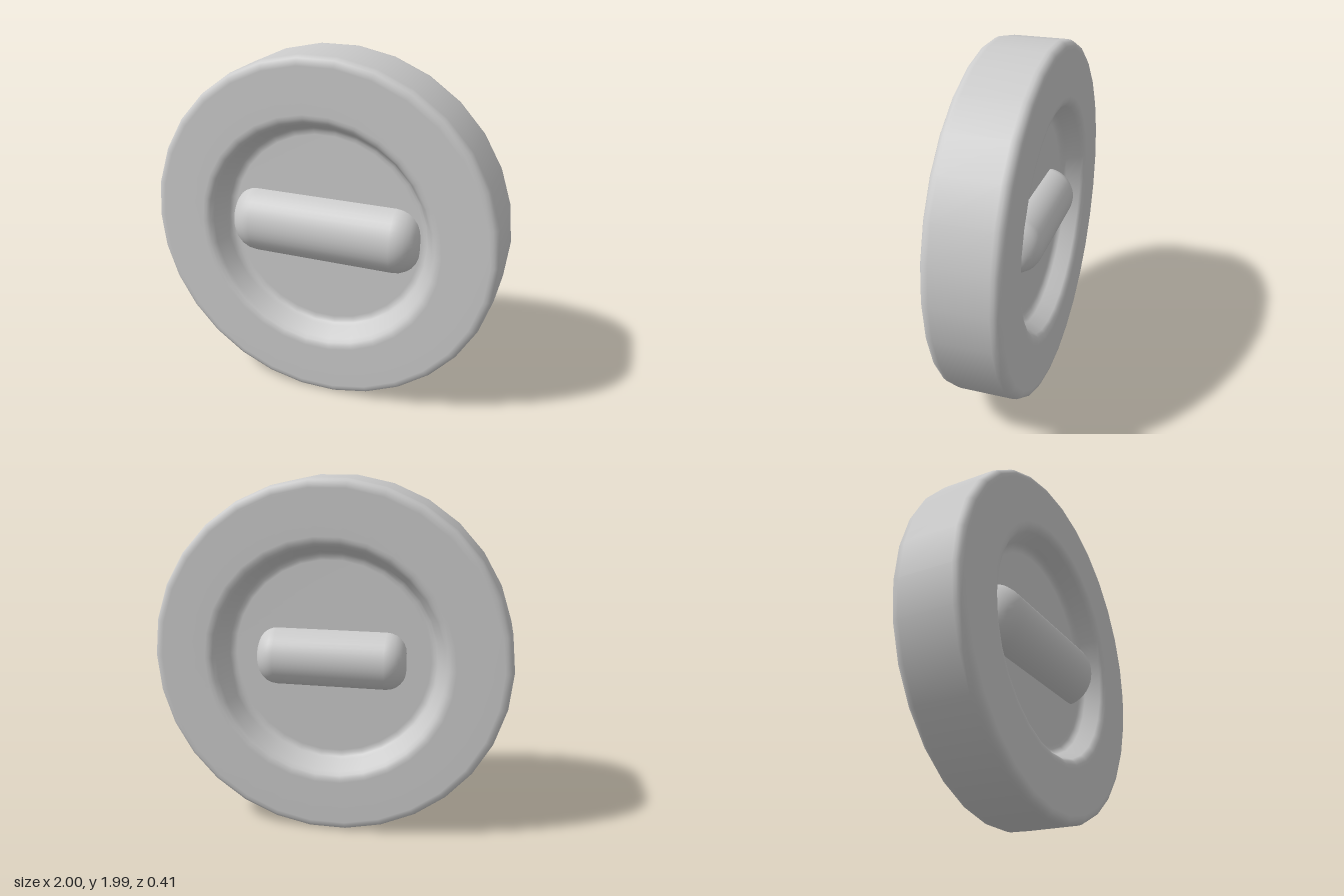
import * as THREE from 'three';

const material = new THREE.MeshStandardMaterial({ color: 0xcccccc });
const CENTRE_Y = 0.995;

// Front half of the disc profile as [radius, z], from the rim to the recess centre
const FRONT_PROFILE = [
  [1, 0.15], [0.997, 0.17], [0.988, 0.188], [0.97, 0.198], [0.95, 0.2],
  [0.7, 0.2], [0.68, 0.198], [0.66, 0.19], [0.643, 0.172],
  [0.605, 0.09], [0.593, 0.072], [0.575, 0.062], [0.555, 0.06], [0, 0.06],
];

// Wheel-like disc with the same dished recess on both faces
function makeDisc() {
  const back = FRONT_PROFILE.map(([r, z]) => [r, -z]).reverse();
  const points = [...back, ...FRONT_PROFILE].map(([r, z]) => new THREE.Vector2(r, z));
  const geometry = new THREE.LatheGeometry(points, 30, Math.PI / 2);
  geometry.rotateX(Math.PI / 2);
  const mesh = new THREE.Mesh(geometry, material);
  mesh.name = 'disc';
  return mesh;
}

// Half-round grip bar along x with rounded ends; its open side sits inside the disc
function makeGrip(name, halfLength, radius, bevel) {
  const points = [new THREE.Vector2(0, -halfLength)];
  for (const end of [-1, 1]) {
    for (let i = 0; i <= 6; i++) {
      const a = (end < 0 ? i : 6 - i) / 6 * Math.PI / 2;
      points.push(new THREE.Vector2(
        radius - bevel + bevel * Math.sin(a),
        end * (halfLength - bevel + bevel * Math.cos(a))));
    }
  }
  points.push(new THREE.Vector2(0, halfLength));
  const geometry = new THREE.LatheGeometry(points, 20, -Math.PI / 2, Math.PI);
  geometry.rotateZ(-Math.PI / 2);
  const mesh = new THREE.Mesh(geometry, material);
  mesh.name = name;
  return mesh;
}

export function createModel() {
  const group = new THREE.Group();
  group.name = 'recessedDiscWithGrips';

  const disc = makeDisc();

  const frontGrip = makeGrip('frontGrip', 0.55, 0.2, 0.14);
  frontGrip.position.z = 0.007;

  // The back grip is smaller
  const backGrip = makeGrip('backGrip', 0.42, 0.165, 0.11);
  backGrip.rotation.y = Math.PI;
  backGrip.position.z = -0.042;

  group.add(disc, frontGrip, backGrip);
  for (const part of group.children) part.position.y = CENTRE_Y;
  return group;
}
